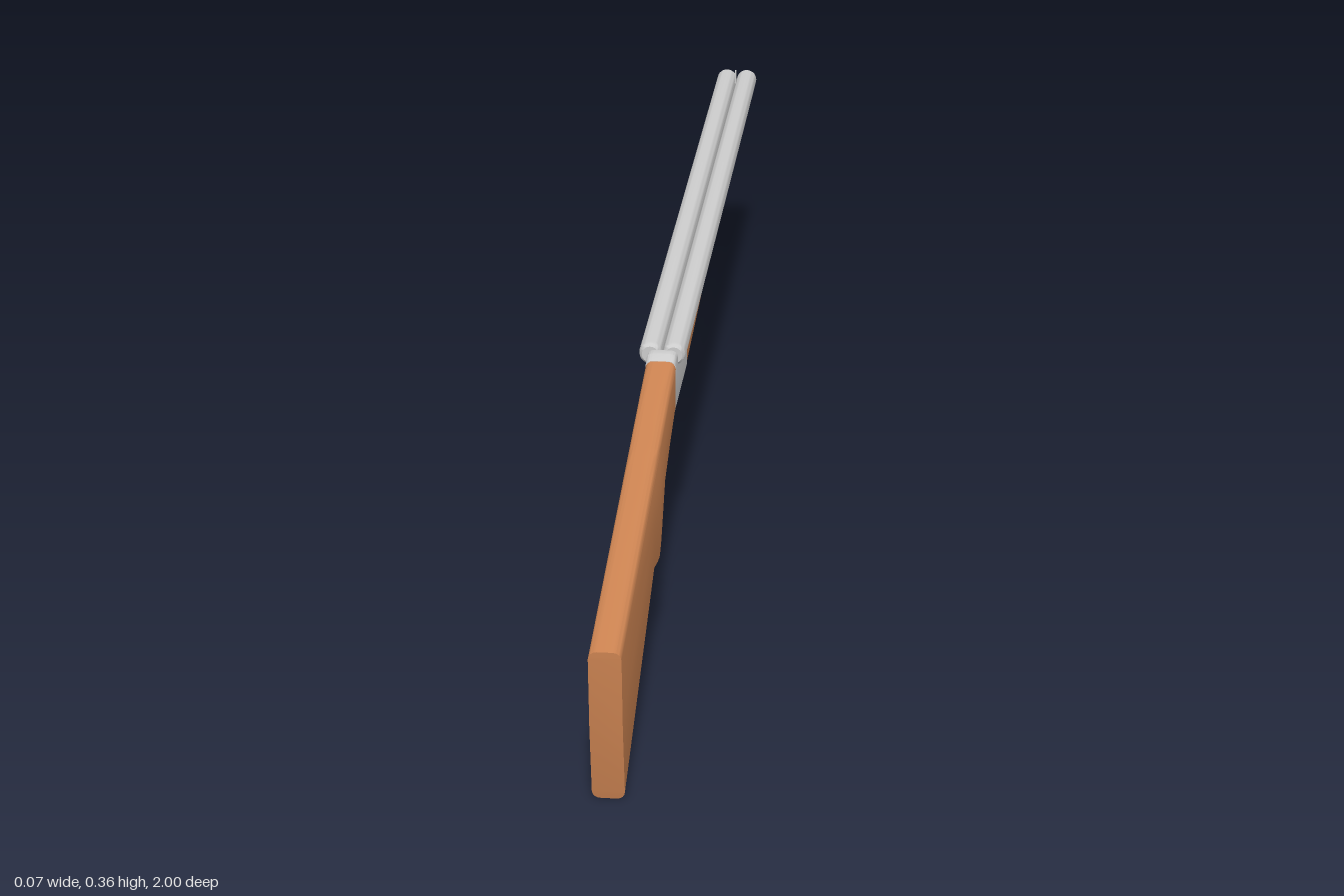
import * as THREE from 'three';
import { toCreasedNormals } from 'three/addons/utils/BufferGeometryUtils.js';

const metal = new THREE.MeshStandardMaterial({ color: 0xcccccc });
const wood = new THREE.MeshStandardMaterial({ color: 0xcd8452 });

// Loft of rounded rectangles. Station: [zTop, yTop, zBottom, yBottom, halfWidth], z increasing.
// bulge pushes the middle of the last section backwards.
function loft(stations, r, bulge = 0) {
  const pos = [], index = [];
  let rows = 0;
  stations.forEach(([zt, yt, zb, yb, w], s) => {
    const len = Math.hypot(zt - zb, yt - yb);
    const rr = Math.min(r, len * 0.45, w * 0.9);
    const half = [];
    for (let k = 0; k <= 4; k++) {
      const a = (k / 4) * Math.PI / 2;
      half.push([w - rr + rr * Math.sin(a), rr * (1 - Math.cos(a)) / len]);
    }
    const side = [...half, [w, 0.5], ...half.slice().reverse().map(([x, t]) => [x, 1 - t])];
    rows = side.length;
    const ring = [...side, ...side.slice().reverse().map(([x, t]) => [-x, t])];
    const b = s === stations.length - 1 ? bulge : 0;
    for (const [x, t] of ring) {
      pos.push(x, yt + (yb - yt) * t, zt + (zb - zt) * t + b * 4 * t * (1 - t));
    }
  });
  const n = rows * 2;
  for (let s = 0; s < stations.length - 1; s++) {
    for (let i = 0; i < n; i++) {
      const a = s * n + i, b = s * n + (i + 1) % n;
      index.push(a, a + n, b, b, a + n, b + n);
    }
  }
  // End caps: strips between the mirrored rows
  const last = (stations.length - 1) * n;
  for (let j = 0; j < rows - 1; j++) {
    const R = j, L = n - 1 - j;
    index.push(R, R + 1, L, L, R + 1, L - 1);
    index.push(last + R, last + L, last + R + 1, last + L, last + L - 1, last + R + 1);
  }
  const g = new THREE.BufferGeometry();
  g.setAttribute('position', new THREE.Float32BufferAttribute(pos, 3));
  g.setIndex(index);
  return toCreasedNormals(g, 0.5);
}

function tube(points, radius) {
  const curve = new THREE.CatmullRomCurve3(points.map(([z, y]) => new THREE.Vector3(0, y, z)));
  return new THREE.TubeGeometry(curve, 32, radius, 8);
}

export function createModel() {
  const group = new THREE.Group();
  const add = (name, geometry, material, x = 0, y = 0, z = 0) => {
    const mesh = new THREE.Mesh(geometry, material);
    mesh.name = name;
    mesh.position.set(x, y, z);
    group.add(mesh);
    return mesh;
  };
  const W = 0.0215, CX = 0.0015;

  // Shoulder stock with a pistol grip
  add('stock', loft([
    [0.302, 0.342, 0.307, 0.263, W],
    [0.38, 0.330, 0.38, 0.241, W],
    [0.452, 0.318, 0.452, 0.214, W],
    [0.505, 0.309, 0.505, 0.147, W],
    [0.525, 0.306, 0.525, 0.133, W],
    [0.548, 0.302, 0.548, 0.137, W],
    [0.596, 0.294, 0.596, 0.15, W],
    [1.0, 0.227, 0.968, 0.002, W],
  ], 0.011, 0.006), wood, CX);

  // Receiver with the raised standing breech behind the barrels
  add('receiver', loft([
    [0.134, 0.33, 0.134, 0.263, W],
    [0.268, 0.335, 0.268, 0.263, W],
    [0.274, 0.347, 0.274, 0.263, W],
    [0.29, 0.348, 0.29, 0.263, W],
    [0.304, 0.342, 0.308, 0.263, W],
  ], 0.009), metal, CX);

  // Fore-end under the barrels
  add('foreEnd', loft([
    [-0.241, 0.326, -0.238, 0.305, 0.014],
    [-0.238, 0.327, -0.232, 0.297, 0.018],
    [-0.222, 0.328, -0.215, 0.29, W],
    [-0.18, 0.329, -0.18, 0.286, W],
    [0.0, 0.33, 0.0, 0.274, W],
    [0.136, 0.33, 0.136, 0.264, W],
  ], 0.012), wood, CX);

  // Twin barrels, hollow at the muzzle, with a rounded breech end
  const profile = [[0, -0.27], [0.012, -0.27], [0.0155, -0.266], [0.0165, -0.26],
    [0.0165, 1], [0.0125, 1], [0.0125, 0.7], [0, 0.7]].map(([r, h]) => new THREE.Vector2(r, h));
  const barrel = toCreasedNormals(new THREE.LatheGeometry(profile, 28), 0.6);
  barrel.rotateX(-Math.PI / 2);
  for (const side of [-1, 1]) {
    add(side > 0 ? 'leftBarrel' : 'rightBarrel', barrel, metal, side * 0.0168, 0.338, 0);
  }

  // Front sight blade
  add('frontSight', new THREE.BoxGeometry(0.002, 0.022, 0.008), metal, 0, 0.351, -0.97);

  // Trigger guard and trigger
  add('triggerGuard', tube([[0.295, 0.268], [0.283, 0.24], [0.283, 0.218], [0.305, 0.197],
    [0.345, 0.19], [0.38, 0.198], [0.399, 0.218], [0.402, 0.24]], 0.004), metal, CX);
  add('trigger', tube([[0.322, 0.268], [0.333, 0.245], [0.332, 0.225], [0.32, 0.207]], 0.0038), metal, CX);

  return group;
}
